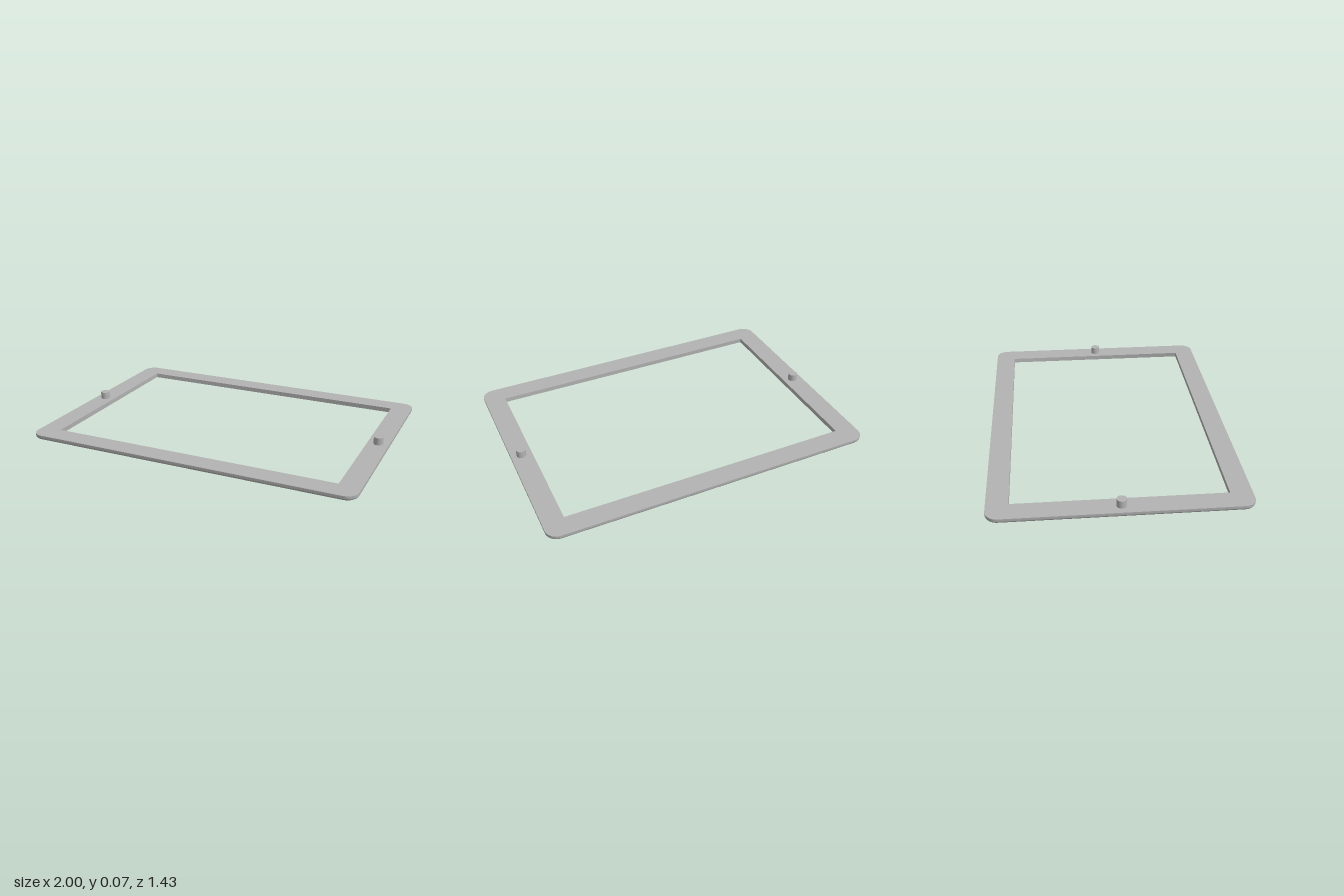
import * as THREE from 'three';
import { toCreasedNormals } from 'three/addons/utils/BufferGeometryUtils.js';

const HEIGHT = 0.028;      // frame thickness
const FILLET = 0.014;      // rounding of the lower outer edge
const CORNER_STEPS = 10;

// Rounded rectangle as a closed ring of points at height y
function ring(halfX, halfZ, radius, y) {
  const points = [];
  for (let corner = 0; corner < 4; corner++) {
    const sx = corner === 0 || corner === 3 ? 1 : -1;
    const sz = corner < 2 ? 1 : -1;
    for (let i = 0; i <= CORNER_STEPS; i++) {
      const a = (corner + i / CORNER_STEPS) * Math.PI / 2;
      points.push([
        sx * (halfX - radius) + radius * Math.cos(a),
        y,
        sz * (halfZ - radius) + radius * Math.sin(a),
      ]);
    }
  }
  return points;
}

// Joins successive rings, and the last to the first, into a closed band
function loft(rings) {
  const count = rings[0].length;
  const indices = [];
  rings.forEach((_, r) => {
    const next = (r + 1) % rings.length;
    for (let i = 0; i < count; i++) {
      const j = (i + 1) % count;
      const a = r * count + i, b = next * count + i;
      const c = r * count + j, d = next * count + j;
      indices.push(a, c, b, b, c, d);
    }
  });
  const geometry = new THREE.BufferGeometry();
  geometry.setAttribute('position', new THREE.Float32BufferAttribute(rings.flat(2), 3));
  geometry.setIndex(indices);
  return toCreasedNormals(geometry, Math.PI / 5);
}

export function createModel() {
  const model = new THREE.Group();
  model.name = 'pinnedFrame';
  const grey = new THREE.MeshStandardMaterial({ color: 0xb3b3b3 });
  grey.name = 'grey';

  // Frame: flat top, straight opening, lower outer edge rounded under
  const opening = (y) => ring(0.874, 0.59, 0.005, y);
  const rings = [opening(HEIGHT), ring(1, 0.713, 0.07, HEIGHT)];
  for (let i = 0; i <= 4; i++) {
    const a = (i / 4) * Math.PI / 2;
    const inset = FILLET * (1 - Math.cos(a));
    rings.push(ring(1 - inset, 0.713 - inset, 0.07 - inset, FILLET * (1 - Math.sin(a))));
  }
  rings.push(opening(0));
  const frame = new THREE.Mesh(loft(rings), grey);
  frame.name = 'frame';
  model.add(frame);

  // Locating pins in the middle of the short sides
  const pinHeight = 0.044;
  const pinGeometry = new THREE.CylinderGeometry(0.028, 0.028, pinHeight, 32);
  for (const side of [-1, 1]) {
    const pin = new THREE.Mesh(pinGeometry, grey);
    pin.name = side > 0 ? 'leftPin' : 'rightPin';
    pin.position.set(side * 0.937, HEIGHT + pinHeight / 2, 0);
    model.add(pin);
  }
  return model;
}
